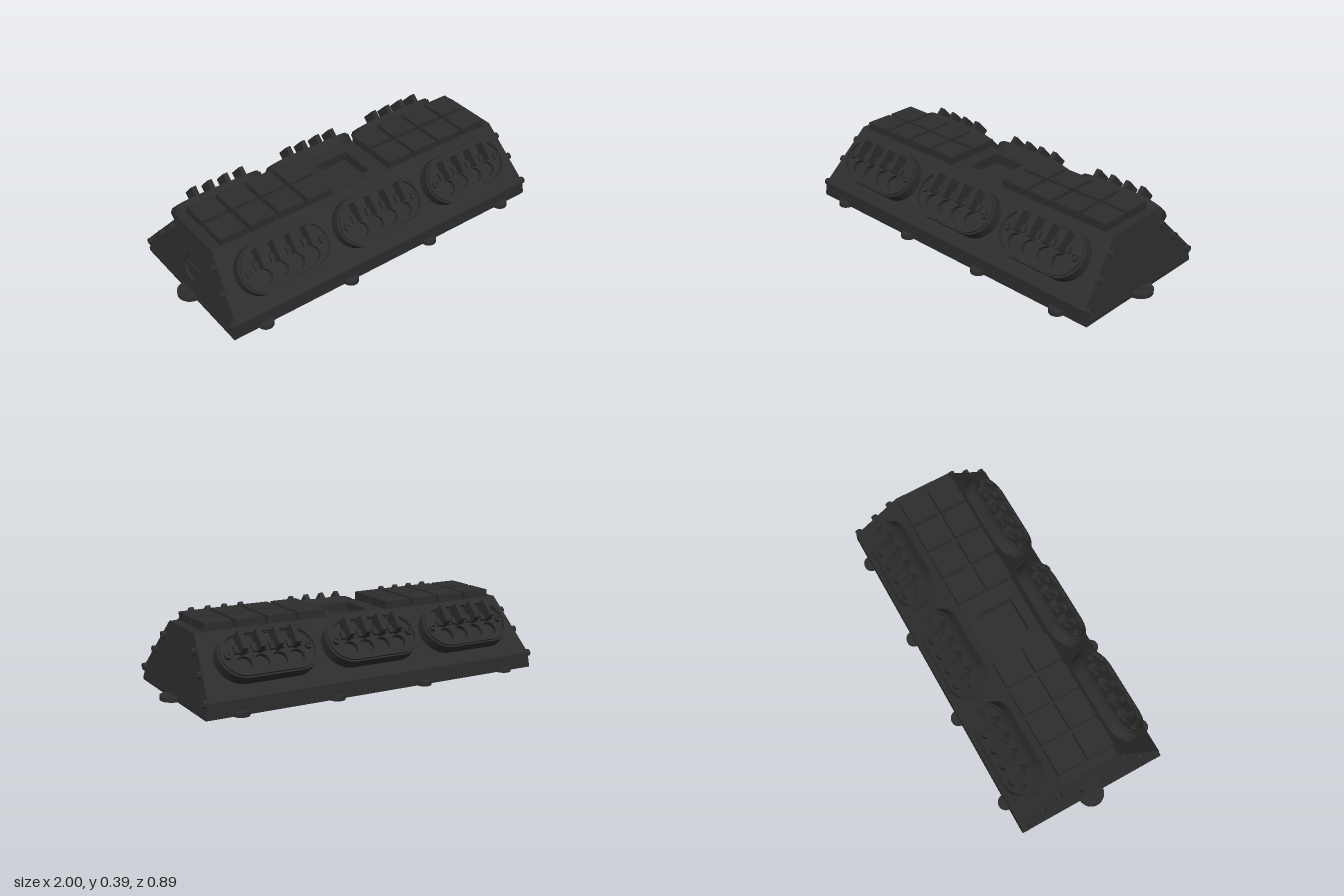
import * as THREE from 'three';
import { toCreasedNormals } from 'three/addons/utils/BufferGeometryUtils.js';

const HALF_END = y => 0.938 - 0.165 * y;             // sloping ends
const HALF_DEPTH = y => 0.405 - (y - 0.08) * 0.926;  // sloping long sides
const SLOPE = 0.75;                                  // tilt of the socket faces

const shell = new THREE.MeshStandardMaterial({ color: 0x2d2d2d });
shell.name = 'charcoal';

function add(parent, name, geometry, x = 0, y = 0, z = 0) {
  const mesh = new THREE.Mesh(geometry, shell);
  mesh.name = name;
  mesh.position.set(x, y, z);
  parent.add(mesh);
  return mesh;
}

const extrude = (shape, depth) => toCreasedNormals(
  new THREE.ExtrudeGeometry(shape, { depth, bevelEnabled: false, curveSegments: 20 }), 0.6);

// Move every vertex by a rule, then renew the normals
function reshape(geometry, rule) {
  const p = geometry.attributes.position;
  const v = new THREE.Vector3();
  for (let i = 0; i < p.count; i++) {
    rule(v.fromBufferAttribute(p, i));
    p.setXYZ(i, v.x, v.y, v.z);
  }
  return toCreasedNormals(geometry, 0.6);
}

const polygon = points => new THREE.Shape(points.map(([x, y]) => new THREE.Vector2(x, y)));

const profile = top => polygon([
  [-0.405, 0.02], [0.405, 0.02], [0.405, 0.08], [HALF_DEPTH(top), top],
  [-HALF_DEPTH(top), top], [-0.405, 0.08],
]);

function circleHole(shape, x, y, r) {
  const hole = new THREE.Path();
  hole.absarc(x, y, r, 0, Math.PI * 2, true);
  shape.holes.push(hole);
}

// Stadium outline with half length a and half width b
function stadium(a, b) {
  const s = new THREE.Shape();
  s.absarc(a - b, 0, b, -Math.PI / 2, Math.PI / 2, false);
  s.absarc(b - a, 0, b, Math.PI / 2, Math.PI * 1.5, false);
  s.closePath();
  return s;
}

function stadiumRing(a, b, innerA, innerB) {
  const s = stadium(a, b);
  s.holes.push(stadium(innerA, innerB));
  return s;
}

const screwGeometry = toCreasedNormals(new THREE.LatheGeometry(
  [[0.018, -0.005], [0.018, 0.02], [0.009, 0.02], [0.009, 0.01], [0, 0.01]]
    .map(([r, y]) => new THREE.Vector2(r, y)), 16), 0.6);

// Socket pod: local x along the body, y up the slope, z outward
function createPod() {
  const pod = new THREE.Group();
  pod.name = 'socketPod';
  add(pod, 'podWall', extrude(stadiumRing(0.26, 0.125, 0.235, 0.1), 0.065), 0, 0, -0.006);
  add(pod, 'podRim', extrude(stadiumRing(0.25, 0.117, 0.237, 0.104), 0.012), 0, 0, 0.057);
  add(pod, 'podFloor', extrude(stadium(0.24, 0.105), 0.03));

  const face = stadium(0.24, 0.105);
  const spots = [-0.138, -0.046, 0.046, 0.138];
  spots.forEach(x => circleHole(face, x, -0.045, 0.038));
  add(pod, 'socketPlate', extrude(face, 0.025), 0, 0, 0.027);

  for (const x of spots) {
    add(pod, 'breakerBase', new THREE.BoxGeometry(0.07, 0.04, 0.02), x, 0.025, 0.058);
    add(pod, 'breakerLever', new THREE.BoxGeometry(0.026, 0.1, 0.068), x, 0.048, 0.083);
  }
  for (const s of [-1, 1]) {
    const screw = add(pod, 'podScrew', screwGeometry, s * 0.21, 0, 0.05);
    screw.rotation.x = Math.PI / 2;
  }
  return pod;
}

// Tilted end plate facing -x
function endPlate(withRecess) {
  const shape = profile(0.35);
  if (withRecess) circleHole(shape, 0, 0.15, 0.068);
  return reshape(extrude(shape, 0.015).rotateY(-Math.PI / 2),
    v => { v.x -= HALF_END(v.y) - 0.015; });
}

export function createModel() {
  const model = new THREE.Group();
  model.name = 'powerDistributionBox';

  // Base plate with rounded mounting tabs
  add(model, 'basePlate', new THREE.BoxGeometry(1.876, 0.022, 0.81), 0, 0.011, 0);
  const sideTab = new THREE.CylinderGeometry(0.04, 0.04, 0.024, 24);
  const endTab = new THREE.CylinderGeometry(0.067, 0.067, 0.022, 32);
  for (const s of [-1, 1]) {
    add(model, 'endTab', endTab, s * 0.933, 0.011, 0);
    for (const x of [-0.76, -0.253, 0.253, 0.76]) add(model, 'sideTab', sideTab, x, 0.012, s * 0.403);
  }

  // Body and top deck with a square recess
  const body = extrude(profile(0.3), 2).rotateY(-Math.PI / 2).translate(1, 0, 0);
  add(model, 'body', reshape(body, v => { v.x = Math.sign(v.x) * (HALF_END(v.y) - 0.014); }));

  const deckShape = polygon([[-0.9, -0.2], [0.9, -0.2], [0.9, 0.2], [-0.9, 0.2]]);
  deckShape.holes.push(polygon([[-0.1, -0.1], [-0.1, 0.1], [0.09, 0.1], [0.09, -0.1]]));
  const deck = extrude(deckShape, 0.05).rotateX(-Math.PI / 2).translate(0, 0.3, 0);
  add(model, 'topDeck', reshape(deck, v => {
    if (Math.abs(v.x) < 0.5) return;
    v.x = Math.sign(v.x) * (HALF_END(v.y) - 0.014);
    v.z = Math.sign(v.z) * HALF_DEPTH(v.y);
  }));

  // End plates; the one at -x has a round slotted recess
  add(model, 'rightEndPlate', endPlate(true));
  add(model, 'leftEndPlate', endPlate(false)).rotation.y = Math.PI;
  add(model, 'recessBar', new THREE.BoxGeometry(0.012, 0.012, 0.13), -0.903, 0.15, 0);

  // Screws on both ends
  for (const sx of [-1, 1]) for (const sz of [-1, 1]) {
    for (const [z, y] of [[0.19, 0.275], [0.281, 0.184], [0.384, 0.073]]) {
      const screw = add(model, 'endScrew', screwGeometry, sx * HALF_END(y), y, sz * z);
      screw.rotation.z = -sx * Math.PI / 2;
    }
  }

  // Two rows of raised blocks on each half of the deck
  const block = new THREE.BoxGeometry(0.148, 0.045, 0.145);
  for (const sx of [-1, 1]) for (const sz of [-1, 1]) {
    for (let i = 0; i < 4; i++) {
      add(model, 'topBlock', block, sx * (0.254 + i * 0.1675), 0.3685, sz * 0.082);
    }
  }

  // Three socket pods on each long slope
  for (const turn of [0, Math.PI]) {
    const row = new THREE.Group();
    row.name = turn ? 'backPods' : 'frontPods';
    row.rotation.y = turn;
    for (const x of [-0.572, 0, 0.572]) {
      const pod = createPod();
      pod.position.set(x, 0.223, 0.2726);
      pod.rotation.x = -SLOPE;
      row.add(pod);
    }
    model.add(row);
  }
  return model;
}
